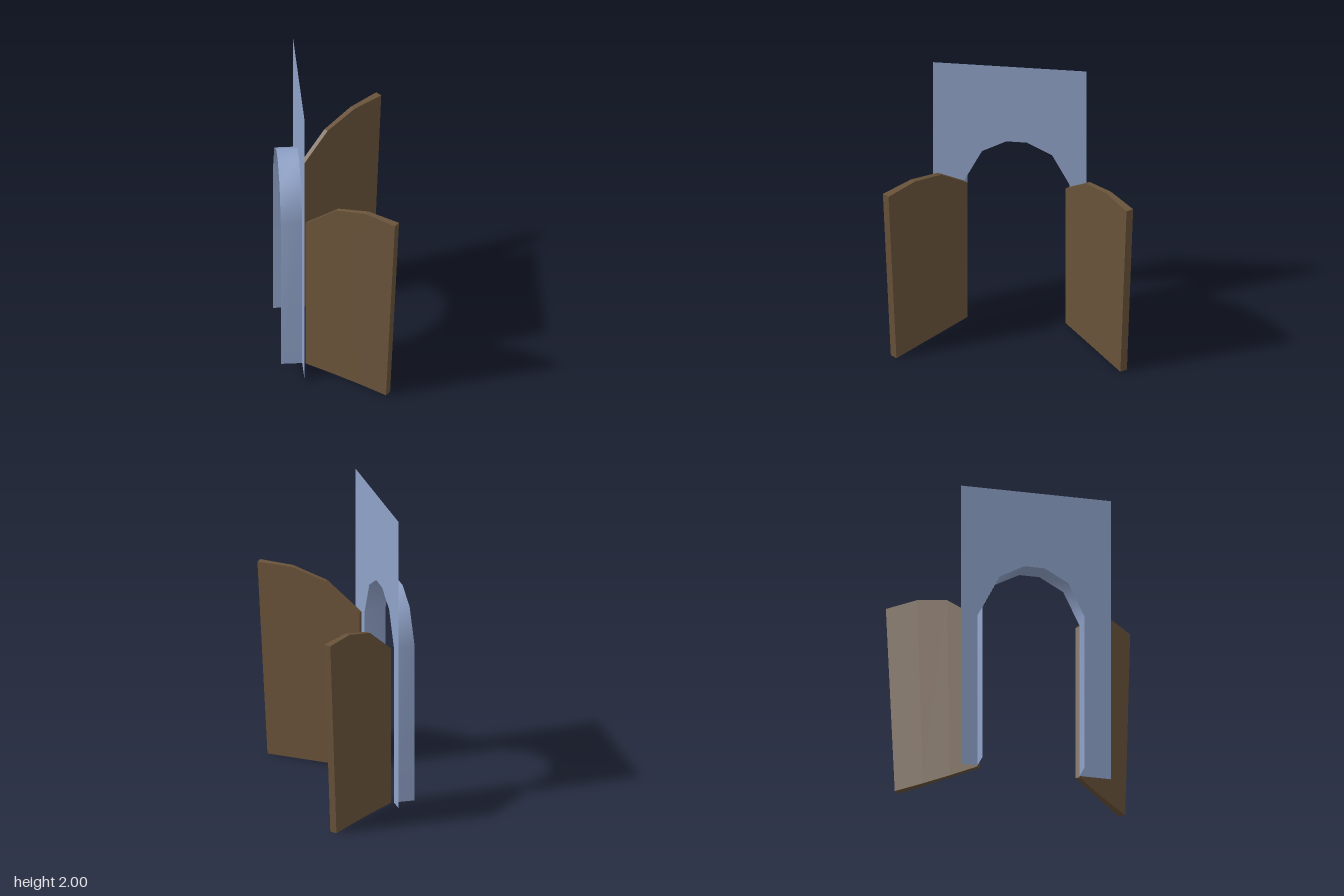
import * as THREE from 'three';

export function createModel() {
  const model = new THREE.Group();
  const stone = new THREE.MeshStandardMaterial({ color: 0x8fa2c8, side: THREE.DoubleSide });
  stone.name = 'pale blue stone';
  const wood = new THREE.MeshStandardMaterial({ color: 0x69533a, flatShading: true });
  wood.name = 'brown wood';

  const add = (geometry, material, name) => {
    const mesh = new THREE.Mesh(geometry, material);
    mesh.name = name;
    model.add(mesh);
    return mesh;
  };

  // Outline of the arched opening as [z, y]
  const arch = [
    [0.34, 0], [0.34, 1.08], [0.23, 1.31], [0.07, 1.4],
    [-0.065, 1.4], [-0.23, 1.31], [-0.345, 1.08], [-0.345, 0],
  ];
  const front = -0.23, back = -0.37;

  // Flat wall around the opening, turned to face +x
  const outline = [[0.55, 0], ...arch, [-0.455, 0], [-0.455, 2], [0.55, 2]];
  const wallShape = new THREE.Shape(outline.map(([z, y]) => new THREE.Vector2(-z, y)));
  const wall = add(new THREE.ShapeGeometry(wallShape), stone, 'wall');
  wall.rotation.y = Math.PI / 2;
  wall.position.x = front;

  // Smooth lining running back from the edge of the opening
  const lining = new THREE.PlaneGeometry(1, 1, arch.length - 1, 1);
  const lp = lining.attributes.position;
  for (let i = 0; i < lp.count; i++) {
    const [z, y] = arch[i % arch.length];
    lp.setXYZ(i, i < arch.length ? front : back, y, z);
  }
  lining.computeVertexNormals();
  add(lining, stone, 'archLining');

  // Door leaf: three-panel box, thicker and wider toward its free edge
  const heights = [1.08, 1.265, 1.33, 1.33];
  function doorGeometry(side) {
    const g = new THREE.BoxGeometry(1, 1, 1, 3, 1, 1);
    const p = g.attributes.position;
    for (let i = 0; i < p.count; i++) {
      const k = Math.round((p.getX(i) + 0.5) * 3), t = k / 3;
      const top = p.getY(i) > 0;
      const outer = p.getZ(i) * side > 0;
      const lean = top ? 0 : 0.055 * t;
      const pinch = outer && (k === 1 || k === 2) ? 0.007 : 0;
      const x = (outer ? -0.21 + 0.55 * t : -0.19 + 0.56 * t) - lean + pinch * 0.6;
      const z = (outer ? 0.345 + 0.475 * t : 0.322 + 0.458 * t) - lean * 0.84 - pinch * 0.8;
      p.setXYZ(i, x, top ? heights[k] : 0, z * side);
    }
    g.computeVertexNormals();
    return g;
  }
  add(doorGeometry(1), wood, 'frontDoor');
  add(doorGeometry(-1), wood, 'backDoor');

  return model;
}
